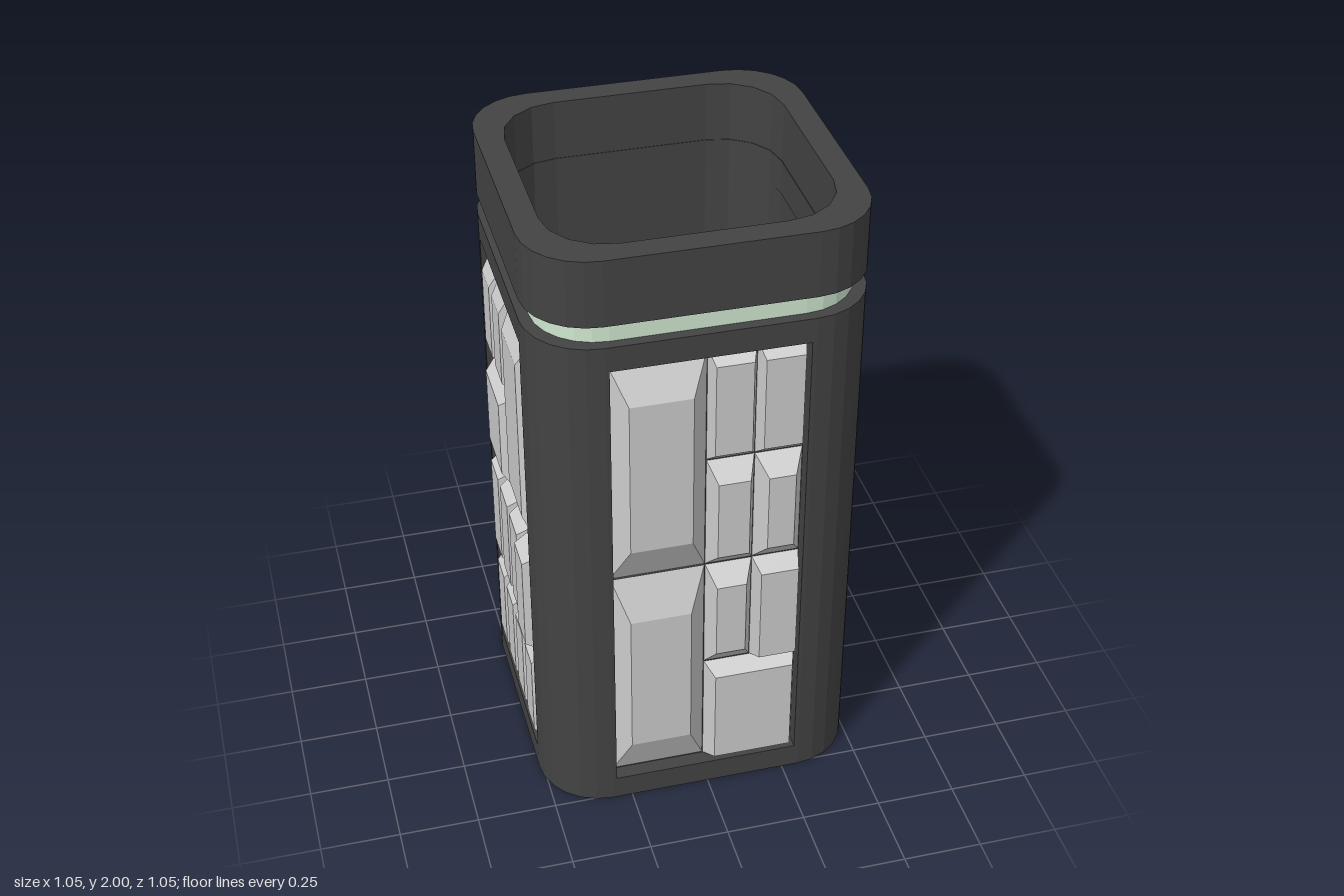
import * as THREE from 'three';

const HALF = 0.508, OPEN = 0.295, FLOOR = 0.46; // column half width, panel half width, recess plane
const Y0 = 0.08, ROW = 0.39, COL = OPEN / 2;    // tile grid

const dark = new THREE.MeshStandardMaterial({ color: 0x434343, roughness: 0.9 });
const green = new THREE.MeshStandardMaterial({ color: 0xcfe8d0 });
const grey = new THREE.MeshStandardMaterial({ color: 0xcccccc });

// Rounded square outline, optionally with a shallow notch in each side
function outline(half, r, segs, notched = false) {
  const pts = [], c = half - r;
  for (let k = 0; k < 4; k++) {
    const quarter = [];
    for (let i = 0; i <= segs; i++) {
      const a = (i / segs) * Math.PI / 2;
      quarter.push([c + r * Math.cos(a), c + r * Math.sin(a)]);
    }
    if (notched) quarter.push([OPEN, half], [OPEN, FLOOR], [-OPEN, FLOOR], [-OPEN, half]);
    for (const [x, y] of quarter) {
      pts.push(new THREE.Vector2(x, y).rotateAround(new THREE.Vector2(), k * Math.PI / 2));
    }
  }
  return pts;
}

// Upright slab between two heights, with an optional hole
function slab(name, outer, hole, y0, y1, material) {
  const shape = new THREE.Shape(outer);
  if (hole) shape.holes.push(new THREE.Path(hole));
  const geo = new THREE.ExtrudeGeometry(shape, { depth: y1 - y0, bevelEnabled: false });
  geo.rotateX(-Math.PI / 2).translate(0, y0, 0);
  const mesh = new THREE.Mesh(geo, material);
  mesh.name = name;
  return mesh;
}

// Chamfered tile: grid column, row, width, height, insets (left, right, bottom, top), outer plane
function tile([c, r, w, h, l, ri, b, t, out]) {
  const x0 = -OPEN + c * COL, x1 = x0 + w * COL;
  const y0 = Y0 + r * ROW, y1 = y0 + h * ROW;
  const geo = new THREE.BoxGeometry(1, 1, 1);
  const p = geo.attributes.position;
  for (let i = 0; i < p.count; i++) {
    const top = p.getZ(i) > 0 ? 1 : 0;
    p.setXYZ(i,
      p.getX(i) < 0 ? x0 + l * top : x1 - ri * top,
      p.getY(i) < 0 ? y0 + b * top : y1 - t * top,
      top ? out : FLOOR - 0.002);
  }
  geo.computeVertexNormals();
  const mesh = new THREE.Mesh(geo, grey);
  mesh.name = 'tile';
  return mesh;
}

const panels = {
  frontPanel: [
    [0, 2, 2, 2, 0.05, 0.055, 0.14, 0.12, 0.525],
    [0, 0, 2, 2, 0.05, 0.055, 0.14, 0.14, 0.515],
    [2, 3, 1, 1, 0.015, 0.02, 0.04, 0.04, 0.505],
    [3, 3, 1, 1, 0.015, 0.015, 0.04, 0.04, 0.505],
    [2, 2, 1, 1, 0.025, 0.025, 0.06, 0.06, 0.515],
    [3, 2, 1, 1, 0.03, 0.035, 0.07, 0.06, 0.52],
    [2, 1, 1, 1, 0.025, 0.03, 0.07, 0.06, 0.515],
    [3, 1, 1, 1, 0.015, 0.015, 0.03, 0.03, 0.52],
    [2, 0, 2, 1, 0.025, 0.02, 0.025, 0.03, 0.515],
  ],
  rightPanel: [
    [0, 2, 2, 2, 0.04, 0.05, 0.13, 0.11, 0.51],
    [2, 2, 2, 2, 0.045, 0.045, 0.13, 0.11, 0.518],
    [0, 1, 1, 1, 0.02, 0.02, 0.05, 0.05, 0.515],
    [1, 1, 1, 1, 0.022, 0.018, 0.05, 0.05, 0.525],
    [2, 1, 2, 1, 0.01, 0.015, 0.035, 0.05, 0.525],
    [0, 0, 2, 1, 0.055, 0.06, 0.07, 0.07, 0.525],
    [2, 0, 2, 1, 0.045, 0.04, 0.065, 0.07, 0.525],
  ],
  backPanel: [
    ...[0, 1, 2, 3].map(c => [c, 3, 1, 1, 0.015, 0.025, 0.04, 0.045, c % 2 ? 0.51 : 0.525]),
    [0, 2, 2, 1, 0.02, 0.03, 0.05, 0.06, 0.513],
    [2, 2, 1, 1, 0.02, 0.025, 0.05, 0.05, 0.513],
    [3, 2, 1, 1, 0.02, 0.02, 0.05, 0.05, 0.51],
    [0, 0, 2, 2, 0.04, 0.06, 0.08, 0.1, 0.515],
    [2, 1, 2, 1, 0.02, 0.02, 0.05, 0.04, 0.525],
    [2, 0, 2, 1, 0.025, 0.02, 0.06, 0.06, 0.515],
  ],
  leftPanel: [
    [0, 3, 1, 1, 0.015, 0.025, 0.04, 0.1, 0.51],
    [1, 3, 1, 1, 0.02, 0.02, 0.04, 0.1, 0.51],
    [0, 2, 2, 1, 0.045, 0.05, 0.07, 0.06, 0.52],
    [2, 2, 2, 2, 0.05, 0.05, 0.12, 0.11, 0.515],
    ...[0, 1, 2, 3].map(c => [c, 1, 1, 1, 0.015, 0.02, 0.03, 0.04, c === 3 ? 0.528 : 0.515]),
    ...[0, 1, 2, 3].map(c => [c, 0, 1, 1, 0.02, 0.025, 0.05, 0.06, 0.512]),
  ],
};

export function createModel() {
  const model = new THREE.Group();
  model.name = 'squareContainer';

  const outer = outline(HALF, 0.2, 6);
  const bore = outline(0.428, 0.19, 4);
  const inner = outline(0.39, 0.15, 4);

  // Hollow column: solid base, recessed middle, upper edge and separate collar
  model.add(
    slab('base', outer, null, 0, Y0, dark),
    slab('wall', outline(HALF, 0.2, 6, true), bore, Y0, Y0 + 4 * ROW, dark),
    slab('upperEdge', outer, bore, Y0 + 4 * ROW, 1.72, dark),
    slab('band', outline(0.475, 0.19, 6), bore, 1.72, 1.79, green),
    slab('collar', outer, bore, 1.79, 2, dark),
  );

  // Dark sleeve hides the inside of the band; a pale ring lies around the floor
  model.add(
    slab('sleeve', bore, outline(0.426, 0.188, 4), 1.7, 1.81, dark),
    slab('floorRing', bore, inner, Y0, Y0 + 0.04, green),
    slab('floorPlate', inner, null, Y0, Y0 + 0.04, dark),
  );

  // One tiled panel per side
  Object.entries(panels).forEach(([name, tiles], side) => {
    const panel = new THREE.Group();
    panel.name = name;
    tiles.forEach(t => panel.add(tile(t)));
    panel.rotation.y = side * Math.PI / 2;
    model.add(panel);
  });

  model.position.set(-0.005, 0, 0.002);
  return model;
}
